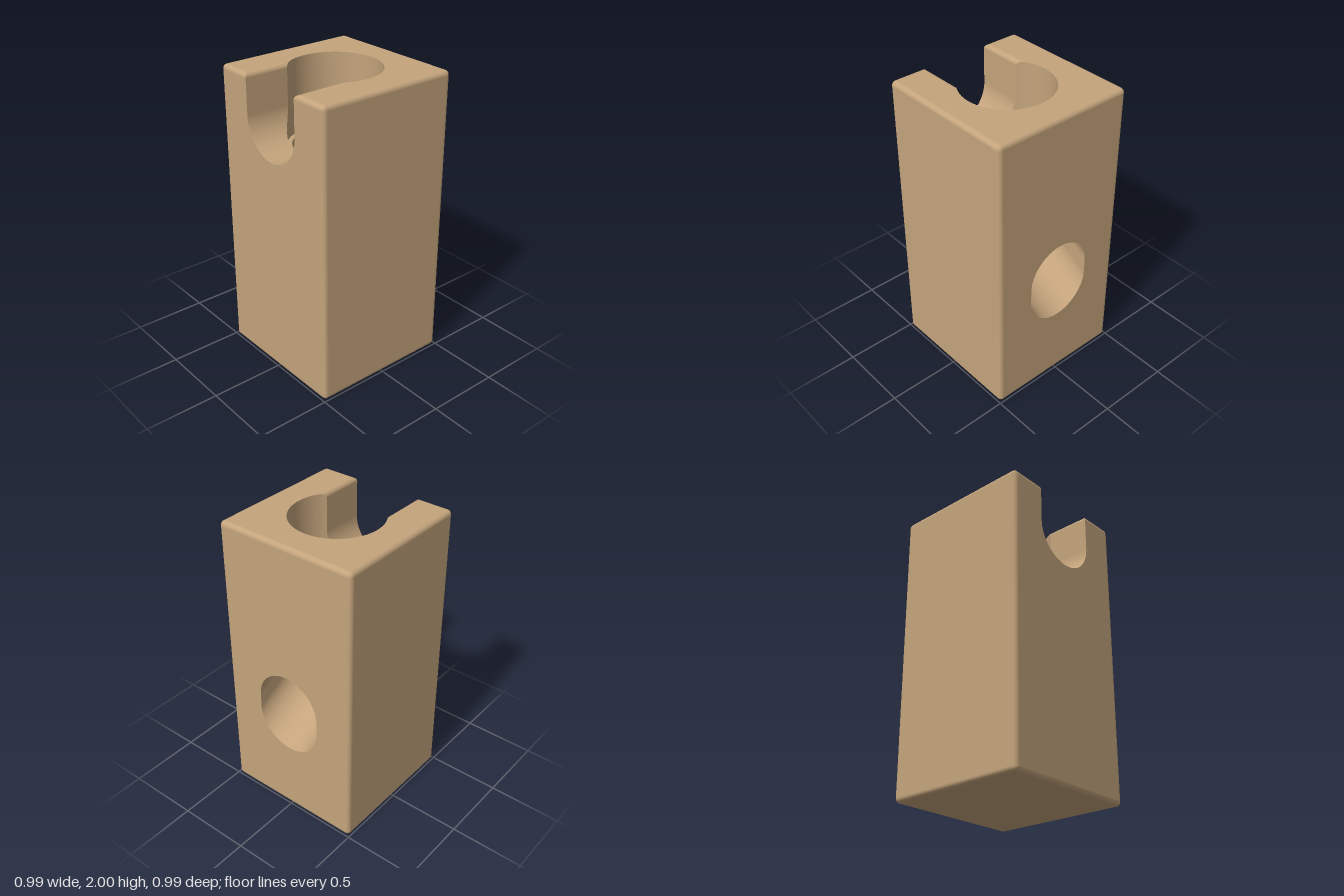
import * as THREE from 'three';

const H = 0.495, TOP = 2, R = 0.03;      // block half width, height, edge radius
const T = 0.235;                         // half width of trough and tunnel
const RIM = 0.3, WELL = 0.27, LEDGE = 1.5, FLOOR = 1.085, BACK = -0.27;
const INLET = 1.735;                     // centre height of the inlet trough
const PI = Math.PI;

// How far the tunnel has dropped at x: level, then a bend, then a straight ramp
function drop(x) {
  const s = 0.25 / (H - 0.05);
  if (x < -0.1) return 0;
  return x < 0.2 ? s * (x + 0.1) ** 2 / 0.6 : s * (x - 0.05);
}
const half = (r, a) => Math.sqrt(Math.max(0, r * r - a * a));
const ceiling = (x, z) => FLOOR - drop(x) + half(T, z);

export function createModel() {
  const group = new THREE.Group();
  const wood = new THREE.MeshStandardMaterial({ color: 0xc4a47c, side: THREE.DoubleSide });
  wood.name = 'wood';

  function add(name, geometry) {
    const mesh = new THREE.Mesh(geometry, wood);
    mesh.name = name;
    group.add(mesh);
    return mesh;
  }

  // Smooth surface from a rule f(u, v) -> [x, y, z], u and v in 0..1
  function surface(name, nu, nv, f) {
    const pos = [], index = [];
    for (let j = 0; j <= nv; j++) {
      for (let i = 0; i <= nu; i++) {
        pos.push(...f(i / nu, j / nv));
        if (i < nu && j < nv) {
          const a = j * (nu + 1) + i, b = a + nu + 1;
          index.push(a, a + 1, b, a + 1, b + 1, b);
        }
      }
    }
    const g = new THREE.BufferGeometry();
    g.setAttribute('position', new THREE.Float32BufferAttribute(pos, 3));
    g.setIndex(index);
    g.computeVertexNormals();
    return add(name, g);
  }

  // Flat panel: a 2D shape laid into a plane by a rule
  function panel(name, shape, place) {
    const g = new THREE.ShapeGeometry(shape, 32);
    const p = g.attributes.position;
    for (let i = 0; i < p.count; i++) p.setXYZ(i, ...place(p.getX(i), p.getY(i)));
    g.computeVertexNormals();
    return add(name, g);
  }
  const polygon = pts => new THREE.Shape(pts.map(p => new THREE.Vector2(...p)));
  const rect = (w, y0, y1) => polygon([[-w, y0], [w, y0], [w, y1], [-w, y1]]);

  // Upright slot with round ends
  function slot(low, high) {
    const pts = [];
    for (let i = 0; i <= 24; i++) pts.push([T * Math.cos(PI + PI * i / 24), low + T * Math.sin(PI + PI * i / 24)]);
    for (let i = 0; i <= 24; i++) pts.push([T * Math.cos(PI * i / 24), high + T * Math.sin(PI * i / 24)]);
    return polygon(pts);
  }

  // Outer faces
  const F = H - R;
  panel('frontFace', rect(F, R, TOP - R), (a, b) => [a, b, H]);
  panel('backFace', rect(F, R, TOP - R), (a, b) => [-a, b, -H]);
  panel('bottomFace', rect(F, -F, F), (a, b) => [a, 0, b]);

  const exitFace = rect(F, R, TOP - R);
  exitFace.holes.push(slot(FLOOR - 0.35, FLOOR - 0.25));
  panel('exitFace', exitFace, (a, b) => [H, b, -a]);

  const inletFace = new THREE.Shape();
  inletFace.moveTo(-F, R).lineTo(F, R).lineTo(F, TOP - R).lineTo(T, TOP - R).lineTo(T, INLET);
  inletFace.absarc(0, INLET, T, 0, -PI, true);
  inletFace.lineTo(-T, TOP - R).lineTo(-F, TOP - R);
  panel('inletFace', inletFace, (a, b) => [-H, b, a]);

  const lip = T + R, lipAngle = Math.asin(lip / RIM);
  const topFace = new THREE.Shape();
  topFace.moveTo(-F, lip).lineTo(-F, F).lineTo(F, F).lineTo(F, -F).lineTo(-F, -F).lineTo(-F, -lip);
  topFace.absarc(0, 0, RIM, PI + lipAngle, 3 * PI - lipAngle, false);
  panel('topFace', topFace, (a, b) => [a, TOP, b]);

  // Rounded outer edges
  const corners = [[-F, -F, PI], [F, -F, 1.5 * PI], [F, F, 0], [-F, F, 0.5 * PI]];
  const loop = (k, r) => {
    const [cx, cz, a0] = corners[Math.floor(k / 9) % 4], a = a0 + (k % 9) / 8 * PI / 2;
    return [cx + r * Math.cos(a), cz + r * Math.sin(a)];
  };
  surface('bottomEdge', 36, 8, (u, v) => {
    const a = v * PI / 2, [x, z] = loop(Math.round(u * 36), R * Math.sin(a));
    return [x, R - R * Math.cos(a), z];
  });
  surface('topEdge', 37, 8, (u, v) => {
    const a = v * PI / 2, r = R * Math.sin(a), k = Math.round(u * 37), y = TOP - R + R * Math.cos(a);
    if (k === 0 || k === 37) return [-F - r, y, (k ? 1 : -1) * (lip - r)];
    const [x, z] = loop(k - 1, r);
    return [x, y, z];
  });
  for (let c = 0; c < 4; c++) {
    surface('uprightEdge', 8, 1, (u, v) => {
      const [x, z] = loop(c * 9 + Math.round(u * 8), R);
      return [x, R + v * (TOP - 2 * R), z];
    });
  }

  // Inlet trough: round floor, straight sides and rounded lips, ending at the well
  const profile = [];
  for (let i = 0; i <= 8; i++) {
    const r = R * Math.sin(i / 8 * PI / 2);
    profile.push([-F - r, TOP - R + R * Math.cos(i / 8 * PI / 2), lip - r]);
  }
  for (let i = 0; i <= 32; i++) {
    profile.push([-H, INLET - T * Math.sin(i / 32 * PI), T * Math.cos(i / 32 * PI)]);
  }
  for (let i = 8; i >= 0; i--) profile.push([profile[i][0], profile[i][1], -profile[i][2]]);
  const n = profile.length - 1;
  surface('inletTrough', n, 1, (u, v) => {
    const [x, y, z] = profile[Math.round(u * n)];
    return [v ? -half(RIM, z) : x, y, z];
  });

  // Upper well wall, and the part of it below the trough
  const side = Math.asin(T / RIM);
  surface('upperWellWall', 160, 1, (u, v) => {
    const a = -(PI - side) + u * 2 * (PI - side);
    const x = RIM * Math.cos(a), z = RIM * Math.sin(a);
    const inLip = x < 0 && Math.abs(z) < lip;
    const top = inLip ? TOP - R + half(R, lip - Math.abs(z)) : TOP;
    return [x, v ? top : LEDGE, z];
  });
  surface('wellWallBelowTrough', 32, 1, (u, v) => {
    const z = -T * Math.cos(u * PI);
    return [-half(RIM, z), v ? INLET - half(T, z) : LEDGE, z];
  });

  // Ledge and lower well
  const ledge = add('wellLedge', new THREE.RingGeometry(WELL, RIM, 72));
  ledge.rotation.x = -PI / 2;
  ledge.position.y = LEDGE;
  surface('lowerWellWall', 144, 1, (u, v) => {
    const x = WELL * Math.cos(u * 2 * PI), z = WELL * Math.sin(u * 2 * PI);
    const low = Math.abs(z) < T ? Math.max(FLOOR, ceiling(x, z)) : FLOOR;
    return [x, v ? LEDGE : low, z];
  });
  for (const s of [-1, 1]) {
    surface('wellFloor', 32, 1, (u, v) => {
      const x = -0.134 + u * 0.3, w = half(T, drop(x));
      return [x, FLOOR, s * (v ? Math.max(w, half(WELL, x)) : w)];
    });
  }

  // Tunnel floor and sides, its ceiling and its end wall
  surface('tunnelFloor', 34, 40, (u, v) => {
    const x = BACK + v * (H - BACK), k = Math.round(u * 34) - 1;
    const low = FLOOR - 0.1 - drop(x);
    if (k < 0 || k > 32) return [x, low + 0.1, k < 0 ? T : -T];
    return [x, low - T * Math.sin(k / 32 * PI), T * Math.cos(k / 32 * PI)];
  });
  surface('tunnelCeiling', 40, 24, (u, v) => {
    const z = T * Math.cos(u * PI);
    let start = half(WELL, z);
    while (start > -0.1 && ceiling(start, z) < FLOOR) start -= 0.004;
    const x = start + v * (H - start);
    return [x, ceiling(x, z), z];
  });
  surface('tunnelBackCeiling', 40, 2, (u, v) => {
    const z = T * Math.cos(u * PI), x = BACK + v * (-half(WELL, z) - BACK);
    return [x, ceiling(x, z), z];
  });
  panel('tunnelEndWall', slot(FLOOR - 0.1, FLOOR), (a, b) => [BACK, b, -a]);

  return group;
}
